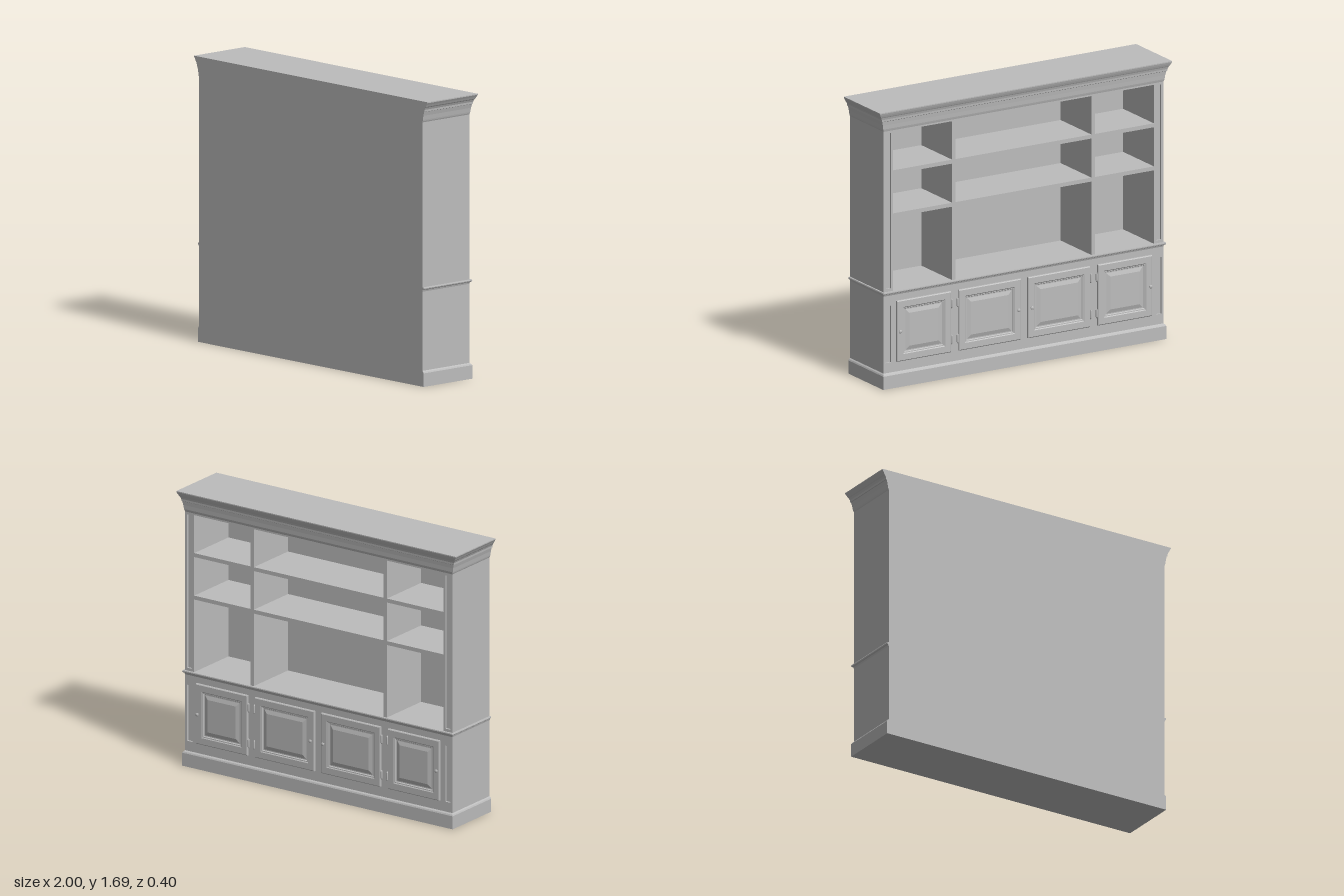
import * as THREE from 'three';

const grey = new THREE.MeshStandardMaterial({ color: 0xbcbcbc });
grey.name = 'paintedGrey';

const BACK = 0.2, FACE = -0.172, HALF = 0.957;

// Solid through four-cornered rings, closed at both ends, flat faces.
function loft(rings) {
  const pos = [];
  const quad = (a, b, c, d) => pos.push(...a, ...b, ...c, ...a, ...c, ...d);
  for (let i = 0; i < rings.length - 1; i++) {
    for (let k = 0; k < 4; k++) {
      const n = (k + 1) % 4;
      quad(rings[i][k], rings[i][n], rings[i + 1][n], rings[i + 1][k]);
    }
  }
  const first = rings[0], last = rings[rings.length - 1];
  quad(first[3], first[2], first[1], first[0]);
  quad(...last);
  const g = new THREE.BufferGeometry();
  g.setAttribute('position', new THREE.Float32BufferAttribute(pos, 3));
  g.computeVertexNormals();
  return g;
}

// Moulded slab with a flat back; profile rows are [half width, face z, y].
const slab = (profile) => loft(profile.map(([x, z, y]) =>
  [[-x, y, BACK], [x, y, BACK], [x, y, z], [-x, y, z]]));

// Raised-panel door; profile rows are [inset from edge, z].
function doorGeometry(w, h) {
  const profile = [[0, FACE], [0, -0.182], [0.005, -0.186], [0.042, -0.186], [0.047, -0.182],
    [0.052, -0.182], [0.056, -0.176], [0.062, -0.176], [0.085, -0.183]];
  return loft(profile.map(([d, z]) => {
    const x = w / 2 - d, y = h / 2 - d;
    return [[x, -y, z], [-x, -y, z], [-x, y, z], [x, y, z]];
  }));
}

export function createModel() {
  const root = new THREE.Group();
  root.name = 'bookcase';

  const add = (name, geometry, x = 0, y = 0, z = 0, parent = root) => {
    const m = new THREE.Mesh(geometry, grey);
    m.name = name;
    m.position.set(x, y, z);
    parent.add(m);
    return m;
  };
  // Box given by its limits on each axis
  const box = (name, x0, x1, y0, y1, z0, z1) =>
    add(name, new THREE.BoxGeometry(x1 - x0, y1 - y0, z1 - z0),
      (x0 + x1) / 2, (y0 + y1) / 2, (z0 + z1) / 2);

  // Plinth, waist moulding and crown
  add('plinth', slab([[0.968, -0.186, 0], [0.968, -0.186, 0.08], [0.964, -0.182, 0.088], [HALF, FACE, 0.094]]));
  add('waistMoulding', slab([[HALF, FACE, 0.562], [0.96, -0.176, 0.572], [0.966, -0.184, 0.576],
    [0.968, -0.186, 0.582], [0.966, -0.185, 0.588]]));
  add('crown', slab([[HALF, FACE, 1.565], [0.96, -0.174, 1.572], [0.962, -0.176, 1.58],
    [0.966, -0.178, 1.605], [0.972, -0.181, 1.628], [0.976, -0.183, 1.63], [0.977, -0.184, 1.642],
    [0.983, -0.188, 1.655], [0.987, -0.191, 1.66], [0.993, -0.196, 1.672], [1, -0.2, 1.684], [1, -0.2, 1.69]]));

  // Carcass
  const RECESS = FACE + 0.012, OPEN = 0.892;
  box('cabinetCore', -HALF, HALF, 0.09, 0.565, RECESS, BACK);
  box('cabinetFront', -OPEN, OPEN, 0.09, 0.565, FACE, RECESS);
  box('backPanel', -OPEN, OPEN, 0.585, 1.57, 0.17, BACK);
  box('topRail', -OPEN, OPEN, 1.555, 1.57, FACE, 0.17);

  // Dividers and three-bay shelves
  const DIV0 = 0.465, DIV1 = 0.488;
  const bays = [[-OPEN, -DIV1], [-DIV0, DIV0], [DIV1, OPEN]];
  for (const y of [1.035, 1.297]) {
    for (const [a, b] of bays) box('shelf', a, b, y, y + 0.024, FACE, 0.17);
  }

  // Upright faces with a sunk panel
  const pilaster = (x0, x1, y0, y1, marginX, marginY) => {
    const s = new THREE.Shape([[x0, y0], [x1, y0], [x1, y1], [x0, y1]].map(p => new THREE.Vector2(...p)));
    const a = x0 + marginX, b = x1 - marginX, c = y0 + marginY, d = y1 - marginY;
    s.holes.push(new THREE.Path([[a, c], [a, d], [b, d], [b, c]].map(p => new THREE.Vector2(...p))));
    return new THREE.ExtrudeGeometry(s, { depth: RECESS - FACE, bevelEnabled: false });
  };

  // Door fittings
  const knobGeometry = new THREE.LatheGeometry(
    [[0.005, 0], [0.004, 0.006], [0.01, 0.008], [0.011, 0.011], [0.008, 0.015], [0, 0.016]]
      .map(p => new THREE.Vector2(...p)), 16);
  knobGeometry.rotateX(-Math.PI / 2);
  const hingeGeometry = new THREE.LatheGeometry(
    [[0, -0.03], [0.004, -0.027], [0.004, -0.022], [0.006, -0.021], [0.006, 0.021],
      [0.004, 0.022], [0.004, 0.027], [0, 0.03]].map(p => new THREE.Vector2(...p)), 12);

  const DOOR_Y0 = 0.155, DOOR_Y1 = 0.525, DOOR_Y = (DOOR_Y0 + DOOR_Y1) / 2;
  const doors = [
    { name: 'innerDoor', x0: 0.024, x1: 0.45, knob: 0.045, hinge: 0.456 },
    { name: 'outerDoor', x0: 0.502, x1: 0.873, knob: 0.856, hinge: 0.496 },
  ];

  for (const s of [-1, 1]) {
    const span = (a, b) => (s > 0 ? [a, b] : [-b, -a]);
    box('sidePanel', ...span(OPEN, HALF), 0.585, 1.57, RECESS, BACK);
    box('divider', ...span(DIV0, DIV1), 0.585, 1.557, FACE, 0.17);
    add('upperPilaster', pilaster(...span(OPEN, HALF), 0.585, 1.57, 0.015, 0.02), 0, 0, FACE);
    add('lowerPilaster', pilaster(...span(OPEN, HALF), 0.09, 0.565, 0.014, 0.065), 0, 0, FACE);

    for (const d of doors) {
      const g = new THREE.Group();
      g.name = d.name;
      root.add(g);
      add('doorPanel', doorGeometry(d.x1 - d.x0, DOOR_Y1 - DOOR_Y0), s * (d.x0 + d.x1) / 2, DOOR_Y, 0, g);
      add('knob', knobGeometry, s * d.knob, DOOR_Y, -0.186, g);
      for (const dy of [-0.11, 0.11]) add('hinge', hingeGeometry, s * d.hinge, DOOR_Y + dy, -0.18, g);
    }
  }
  return root;
}
